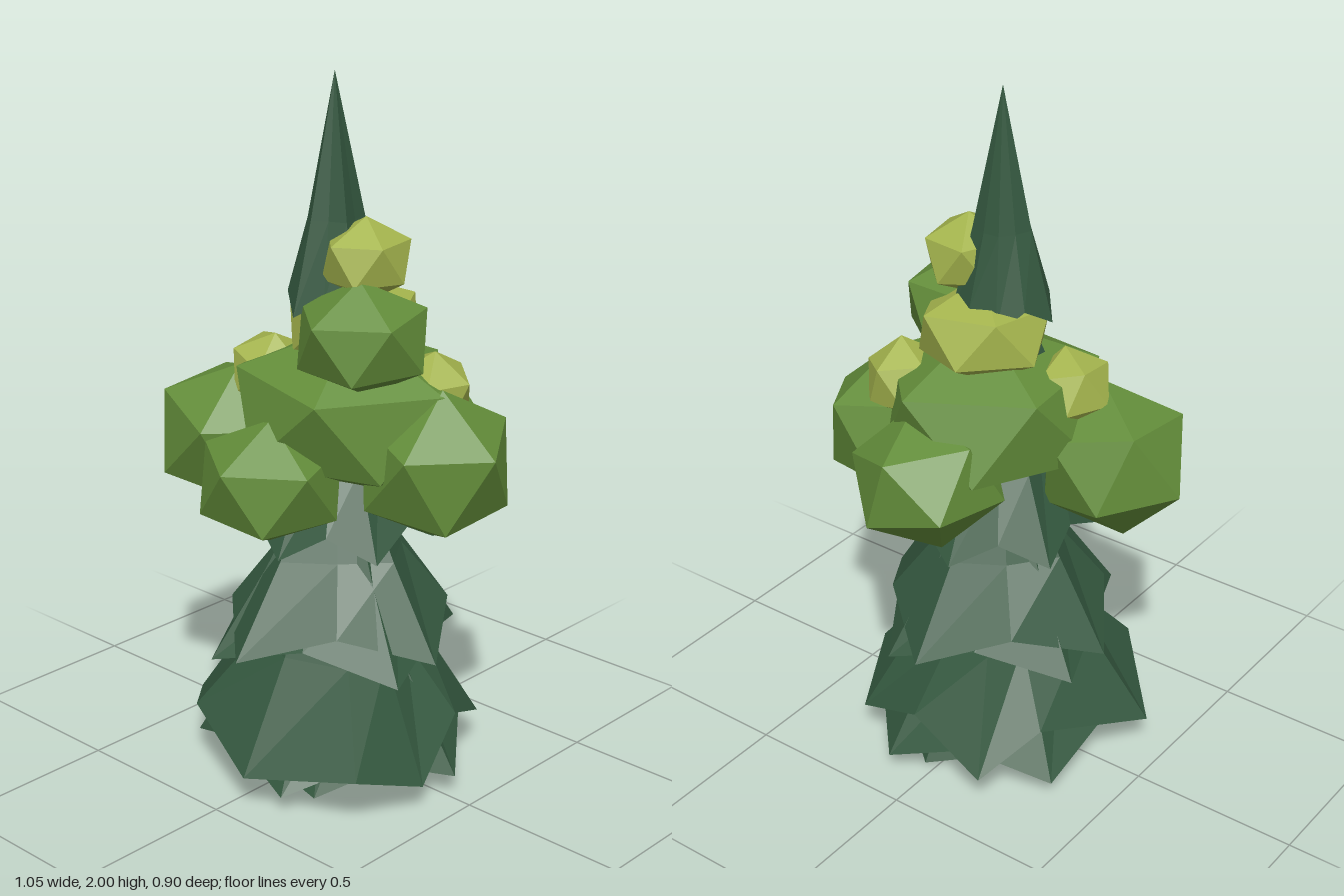
import * as THREE from 'three';

const mat = (name, color, side = THREE.FrontSide) =>
  new THREE.MeshStandardMaterial({ name, color, side, flatShading: true });

// Zigzag rim of alternating tips and notches around the trunk axis.
function starRim({ tips, phase, tipY, tipR, notchY, notchR, wobble = 0.01 }) {
  const rim = [];
  for (let i = 0; i < tips * 2; i++) {
    const a = THREE.MathUtils.degToRad(phase) + (i / tips) * Math.PI;
    const w = wobble * Math.sin(i * 2.3 + phase);
    const [r, y] = i % 2 ? [notchR, notchY] : [tipR, tipY];
    rim.push([Math.cos(a) * (r + w), y + w * 0.5, Math.sin(a) * (r + w)]);
  }
  return rim;
}

// Flared skirt of needles: apex, narrower middle ring, then the given rim.
function skirtGeometry(top, rim) {
  const apex = [0, top, 0];
  const n = rim.length;
  const low = Math.min(...rim.map((p) => p[1]));
  const midY = top + (low - top) * 0.6;
  const mid = rim.map(([x, , z]) => [x * 0.57, midY, z * 0.57]);
  const pos = [];
  for (let i = 0; i < n; i++) {
    const j = (i + 1) % n;
    pos.push(...mid[j], ...mid[i], ...apex);
    pos.push(...rim[j], ...rim[i], ...mid[i]);
    pos.push(...rim[j], ...mid[i], ...mid[j]);
  }
  const g = new THREE.BufferGeometry();
  g.setAttribute('position', new THREE.Float32BufferAttribute(pos, 3));
  g.computeVertexNormals();
  return g;
}

export function createModel() {
  const tree = new THREE.Group();
  tree.name = 'tree';
  const bark = mat('bark brown', 0x5b3f2b);
  const needle = mat('needle green', 0x34583f, THREE.DoubleSide);
  const leaf = mat('leaf green', 0x638d3a);
  const bud = mat('young leaf yellow green', 0xa4b44d);

  const add = (name, geometry, material) => {
    const m = new THREE.Mesh(geometry, material);
    m.name = name;
    tree.add(m);
    return m;
  };

  // Trunk
  add('trunk', new THREE.CylinderGeometry(0.05, 0.085, 0.95, 7), bark).position.y = 0.475;

  // Wide, uneven bottom skirt: tips and notches in turn
  add('bottomOuterTier', skirtGeometry(0.86, [
    [0.43, 0.08, 0.12], [0.38, 0.16, 0.34], [0.06, 0.1, 0.45], [-0.22, 0.2, 0.36], [-0.44, 0.1, 0.13],
    [-0.29, 0.19, -0.2], [-0.21, 0.1, -0.39], [0.04, 0.2, -0.36], [0.27, 0.1, -0.31], [0.36, 0.2, -0.1],
  ]), needle);

  // Regular needle tiers, inner ones showing below the outer ones
  const skirts = [
    ['bottomLiner', 0.72, { tips: 5, phase: 131, tipY: 0.01, tipR: 0.33, notchY: 0.06, notchR: 0.28, wobble: 0 }],
    ['bottomInnerTier', 0.8, { tips: 5, phase: 213, tipY: 0.05, tipR: 0.42, notchY: 0.13, notchR: 0.35 }],
    ['middleInnerTier', 1, { tips: 4, phase: 22, tipY: 0.36, tipR: 0.385, notchY: 0.44, notchR: 0.3 }],
    ['middleOuterTier', 1.05, { tips: 4, phase: 3, tipY: 0.4, tipR: 0.385, notchY: 0.49, notchR: 0.31 }],
    ['upperTier', 1.3, { tips: 6, phase: 25, tipY: 0.69, tipR: 0.28, notchY: 0.76, notchR: 0.24 }],
    ['hiddenTier', 1.55, { tips: 5, phase: 0, tipY: 1.02, tipR: 0.22, notchY: 1.08, notchR: 0.19 }],
    ['spire', 2, { tips: 5, phase: 170, tipY: 1.35, tipR: 0.145, notchY: 1.4, notchR: 0.12 }],
  ];
  for (const [name, top, spec] of skirts) add(name, skirtGeometry(top, starRim(spec)), needle);
  tree.getObjectByName('spire').position.set(0.005, 0, 0.02);

  // Faceted leaf clumps: name, material, centre, radii, rotation
  const clumps = [
    ['leftClump', leaf, [0.3, 0.95, -0.065], [0.23, 0.23, 0.24], [0.2, 0.5, 0.45]],
    ['rightClump', leaf, [-0.3, 0.95, 0.12], [0.23, 0.225, 0.23], [0.25, 0.51, 0.4]],
    ['frontClump', leaf, [-0.02, 0.905, 0.25], [0.22, 0.185, 0.22], [0.1, 0.3, 0.5]],
    ['backClump', leaf, [0.06, 0.94, -0.25], [0.22, 0.2, 0.23], [0.4, 0.9, 0.5]],
    ['coreClump', leaf, [0.03, 1.07, 0], [0.35, 0.245, 0.345], [0.1, 0.7, 0.5]],
    ['upperClump', leaf, [0.16, 1.31, 0.08], [0.2, 0.165, 0.2], [0.1, 0.2, 0.55]],
    ['collarBuds', bud, [0.035, 1.31, -0.025], [0.205, 0.14, 0.2], [0.2, 0.4, 0.5]],
    ['topBuds', bud, [0.11, 1.505, 0.01], [0.13, 0.118, 0.14], [0, 0.2, 0.55]],
    ['rightBuds', bud, [-0.185, 1.15, 0.08], [0.12, 0.12, 0.125], [0.3, 0.6, 0.4]],
    ['leftBuds', bud, [0.24, 1.13, -0.115], [0.12, 0.125, 0.125], [0.2, 0.8, 0.5]],
  ];
  for (const [name, material, centre, radii, turn] of clumps) {
    const g = new THREE.IcosahedronGeometry(1, 0);
    g.rotateX(turn[0]).rotateZ(turn[2]).rotateY(turn[1]);
    g.scale(...radii);
    add(name, g, material).position.set(...centre);
  }
  return tree;
}
